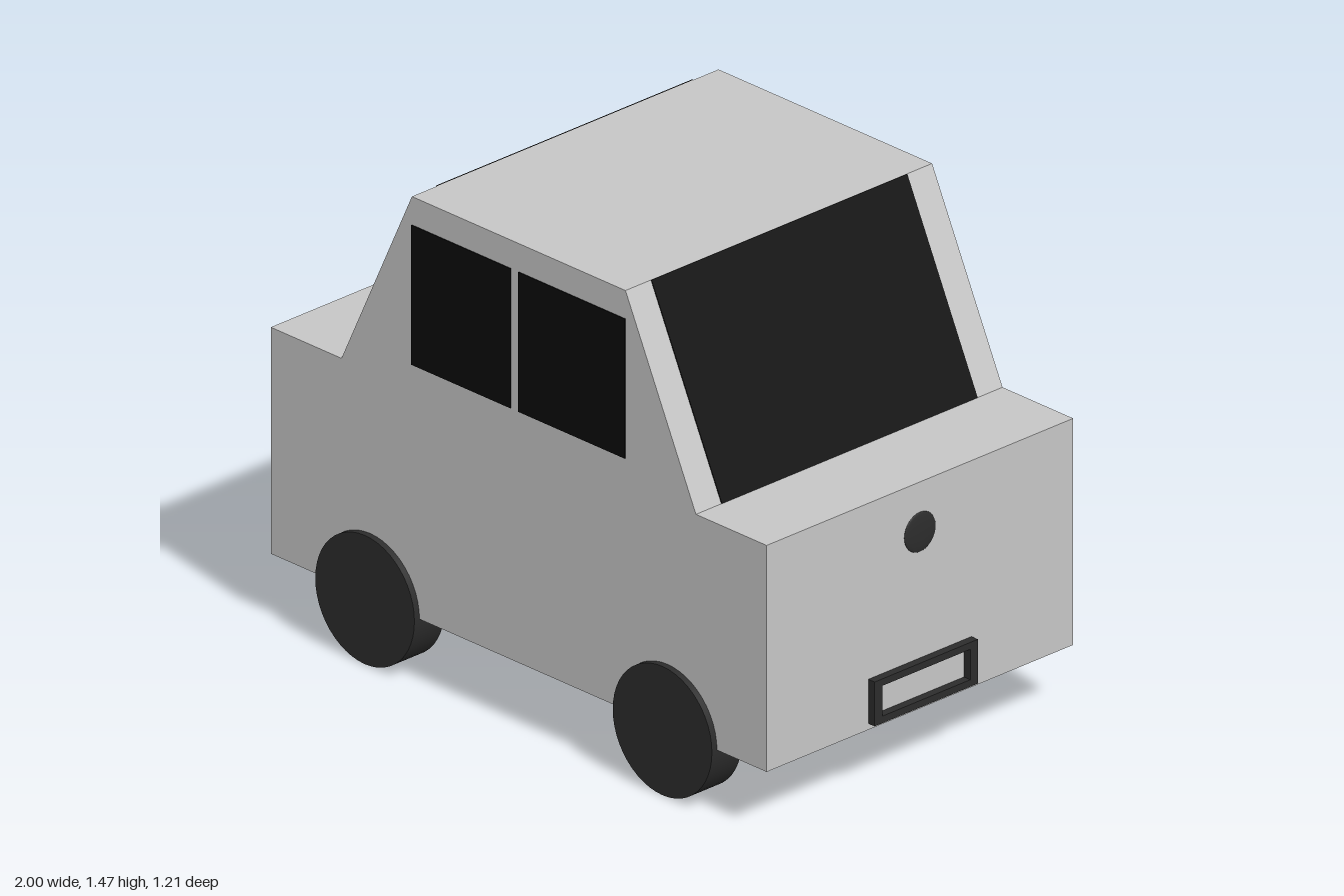
import * as THREE from 'three';

const bodyPaint = new THREE.MeshStandardMaterial({ name: 'bodyPaint', color: 0xc6c6c6 });
const darkRubber = new THREE.MeshStandardMaterial({ name: 'darkRubber', color: 0x2c2c2c });
const blackGlass = new THREE.MeshStandardMaterial({ name: 'blackGlass', color: 0x0c0c0c });

const HALF_LENGTH = 0.975, HALF_WIDTH = 0.585;
const FLOOR = 0.197, HOOD = 0.883, ROOF = 1.467;
const CABIN_BASE = 0.697, CABIN_TOP = 0.42;

function addMesh(parent, name, geometry, material, x = 0, y = 0, z = 0) {
  const mesh = new THREE.Mesh(geometry, material);
  mesh.name = name;
  mesh.position.set(x, y, z);
  parent.add(mesh);
  return mesh;
}

// Side profile extruded across the width
function createBody() {
  const profile = new THREE.Shape([
    [-HALF_LENGTH, FLOOR], [HALF_LENGTH, FLOOR], [HALF_LENGTH, HOOD], [CABIN_BASE, HOOD],
    [CABIN_TOP, ROOF], [-CABIN_TOP, ROOF], [-CABIN_BASE, HOOD], [-HALF_LENGTH, HOOD],
  ].map(([x, y]) => new THREE.Vector2(x, y)));
  const geometry = new THREE.ExtrudeGeometry(profile, { depth: 2 * HALF_WIDTH, bevelEnabled: false });
  return geometry.translate(0, 0, -HALF_WIDTH);
}

// Hollow rectangular plate frame, facing +x
function createPlateFrame() {
  const rectangle = (Type, w, h) => new Type([
    new THREE.Vector2(-w, -h), new THREE.Vector2(w, -h), new THREE.Vector2(w, h), new THREE.Vector2(-w, h),
  ]);
  const outline = rectangle(THREE.Shape, 0.197, 0.067);
  outline.holes.push(rectangle(THREE.Path, 0.168, 0.046));
  const geometry = new THREE.ExtrudeGeometry(outline, { depth: 0.026, bevelEnabled: false });
  return geometry.rotateY(Math.PI / 2);
}

// One half of the fittings: an end (+x) and a flank (+z)
function createFittings(name) {
  const half = new THREE.Group();
  half.name = name;

  // Sloping windscreen lying on the cabin end
  const rise = ROOF - HOOD, run = CABIN_BASE - CABIN_TOP;
  const screen = addMesh(half, 'windscreen',
    new THREE.BoxGeometry(0.006, Math.hypot(rise, run), 0.976), blackGlass,
    (CABIN_BASE + CABIN_TOP) / 2, (HOOD + ROOF) / 2, 0);
  screen.rotation.z = Math.atan2(run, rise);

  // Side windows
  for (const [label, x0, x1] of [['rearSideWindow', -0.42, -0.03], ['frontSideWindow', 0, 0.42]]) {
    addMesh(half, label, new THREE.BoxGeometry(x1 - x0, 0.423, 0.006), blackGlass,
      (x0 + x1) / 2, 1.17, HALF_WIDTH);
  }

  // Round badge and plate frame on the end panel
  const badge = addMesh(half, 'badge', new THREE.SphereGeometry(1, 32, 16), darkRubber,
    HALF_LENGTH, 0.732, 0);
  badge.scale.set(0.007, 0.06, 0.06);
  addMesh(half, 'plateFrame', createPlateFrame(), darkRubber, HALF_LENGTH - 0.001, 0.283, 0);

  // Wheels of this flank
  for (const x of [-0.585, 0.585]) {
    const wheel = addMesh(half, 'wheel', new THREE.CylinderGeometry(0.195, 0.195, 0.115, 48),
      darkRubber, x, 0.196, 0.547);
    wheel.rotation.x = Math.PI / 2;
  }
  return half;
}

export function createModel() {
  const car = new THREE.Group();
  car.name = 'car';
  addMesh(car, 'body', createBody(), bodyPaint);

  // The second half repeats the first, turned half way round
  car.add(createFittings('firstHalfFittings'));
  const second = createFittings('secondHalfFittings');
  second.rotation.y = Math.PI;
  car.add(second);
  return car;
}
